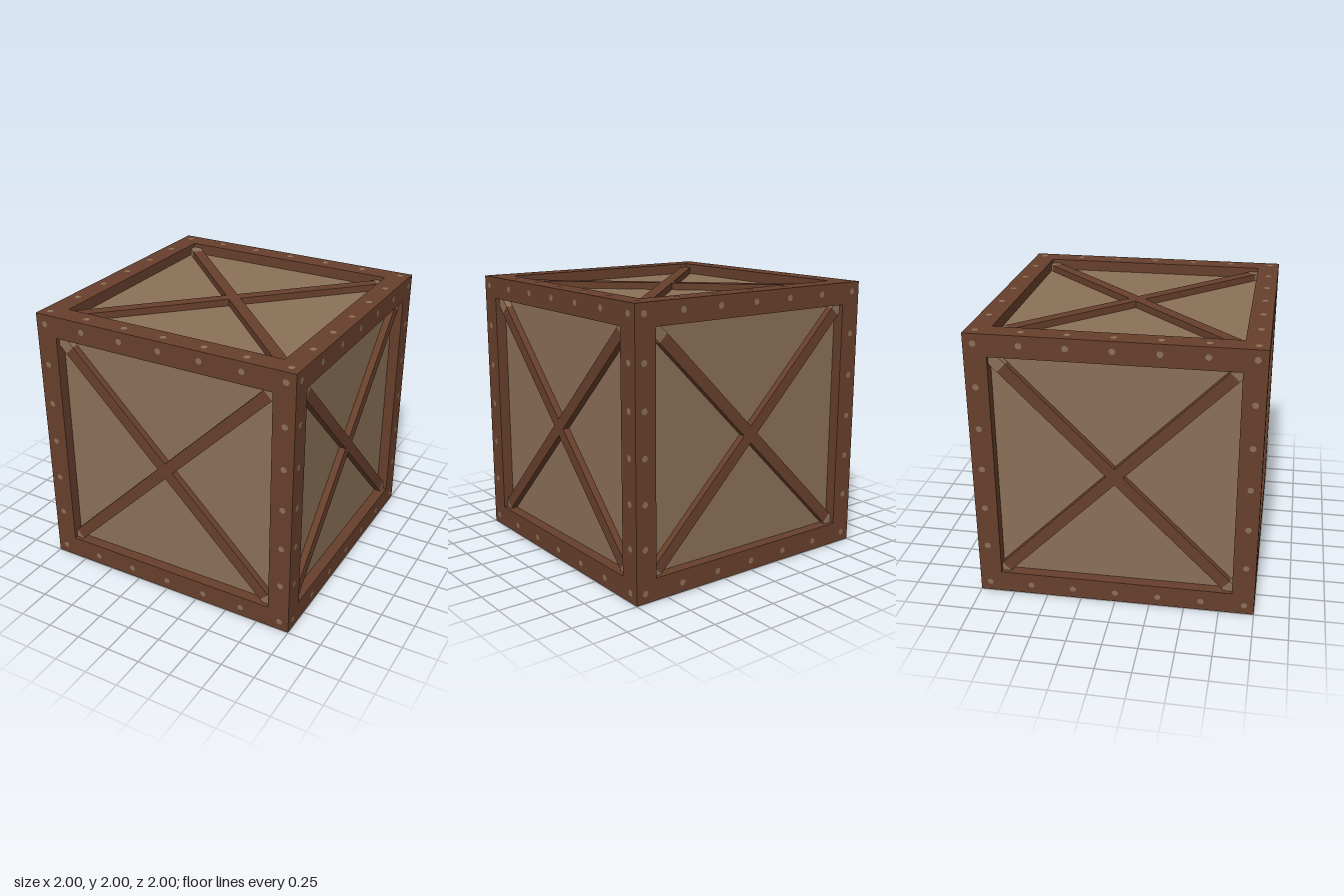
import * as THREE from 'three';

const BEAM = 0.16;    // frame beam thickness
const RECESS = 0.08;  // panel depth below the frame face
const BAR_W = 0.085, BAR_H = 0.05;

export function createModel() {
  const darkWood = new THREE.MeshStandardMaterial({ color: 0x673f2c });
  darkWood.name = 'darkWood';
  const lightWood = new THREE.MeshStandardMaterial({ color: 0x8b7057 });
  lightWood.name = 'lightWood';

  const crate = new THREE.Group();
  crate.name = 'crate';
  const body = new THREE.Group();
  body.name = 'body';
  body.position.y = 1;
  crate.add(body);

  const add = (parent, name, geometry, material, x = 0, y = 0, z = 0) => {
    const mesh = new THREE.Mesh(geometry, material);
    mesh.name = name;
    mesh.position.set(x, y, z);
    parent.add(mesh);
    return mesh;
  };

  // Inner box whose sides are the six recessed panels
  const inner = 2 - 2 * RECESS;
  add(body, 'panels', new THREE.BoxGeometry(inner, inner, inner), lightWood);

  // Twelve frame beams: full-height posts with rails fitted between them
  const c = 1 - BEAM / 2, rail = 2 - 2 * BEAM;
  for (const a of [-c, c]) {
    for (const b of [-c, c]) {
      add(body, 'cornerPost', new THREE.BoxGeometry(BEAM, 2, BEAM), darkWood, a, 0, b);
      add(body, 'widthRail', new THREE.BoxGeometry(rail, BEAM, BEAM), darkWood, 0, a, b);
      add(body, 'depthRail', new THREE.BoxGeometry(BEAM, BEAM, rail), darkWood, a, b, 0);
    }
  }

  // Cross brace and rivets for one face, built facing +z
  const rivetGeometry = new THREE.CircleGeometry(0.023, 8);
  const barZ = 1 - RECESS + BAR_H / 2;
  const darkEnds = [1.12, 1.07, 1.14, 1.12]; // where each arm's dark wood stops
  const tip = 1.19;

  function buildFace(name, rx, ry) {
    const face = new THREE.Group();
    face.name = name;
    face.rotation.set(rx, ry, 0);
    body.add(face);

    const hub = add(face, 'braceCentre', new THREE.BoxGeometry(BAR_W, BAR_W, BAR_H), darkWood, 0, 0, barZ);
    hub.rotation.z = Math.PI / 4;
    darkEnds.forEach((end, i) => {
      const angle = Math.PI / 4 + i * Math.PI / 2;
      const segment = (label, from, to, material) => {
        const mid = (from + to) / 2;
        const bar = add(face, label, new THREE.BoxGeometry(to - from, BAR_W, BAR_H), material,
          Math.cos(angle) * mid, Math.sin(angle) * mid, barZ);
        bar.rotation.z = angle;
      };
      segment('braceArm', BAR_W / 2, end, darkWood);
      segment('braceTip', end, tip, lightWood);
    });

    // Seven rivets along each side, sharing the corner ones
    for (let i = -3; i <= 3; i++) {
      for (let j = -3; j <= 3; j++) {
        if (Math.max(Math.abs(i), Math.abs(j)) < 3) continue;
        add(face, 'rivet', rivetGeometry, lightWood, i * 0.31, j * 0.31, 1.002);
      }
    }
  }

  const q = Math.PI / 2;
  buildFace('frontFace', 0, 0);
  buildFace('leftFace', 0, q);
  buildFace('backFace', 0, 2 * q);
  buildFace('rightFace', 0, -q);
  buildFace('topFace', -q, 0);
  buildFace('bottomFace', q, 0);

  return crate;
}
